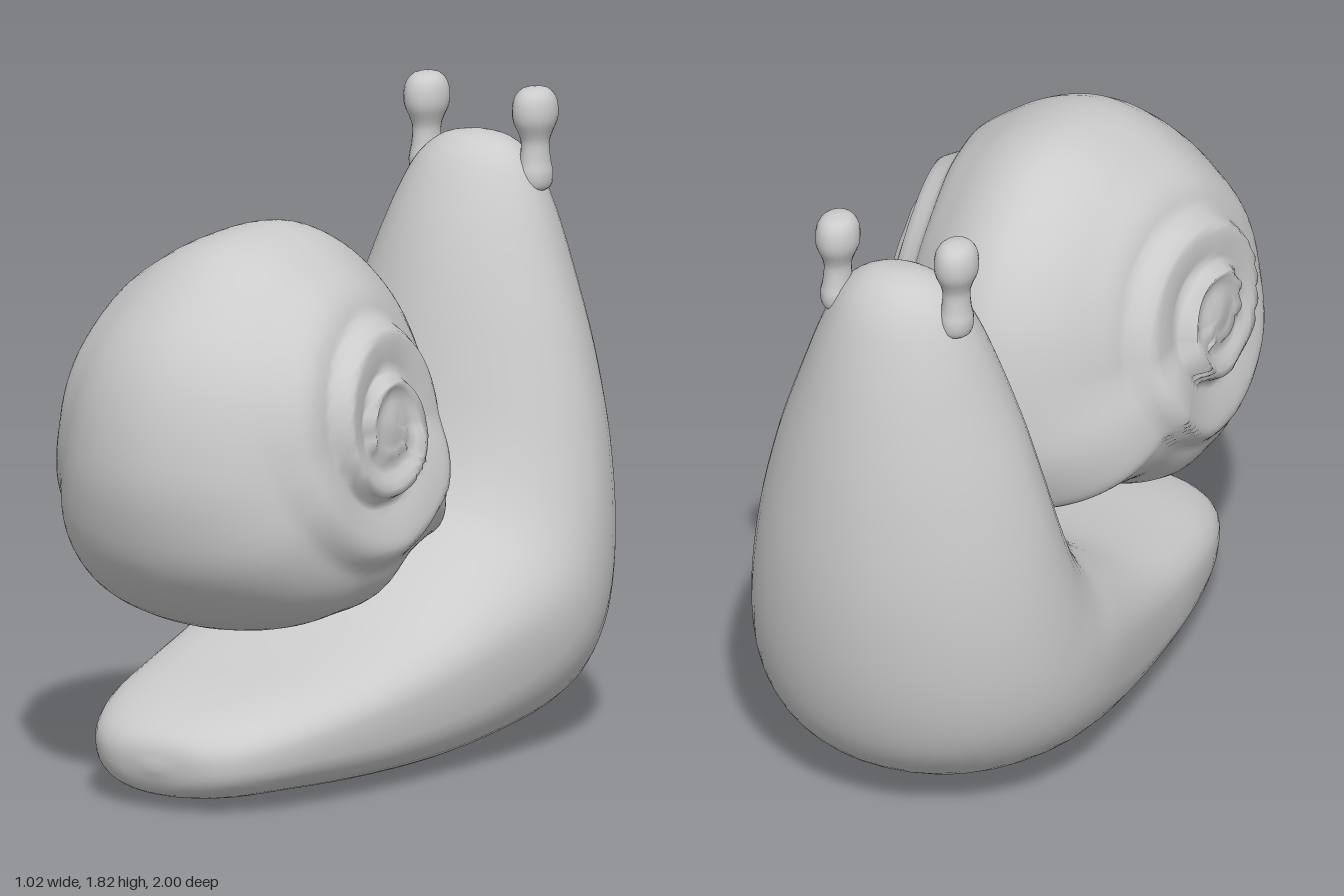
import * as THREE from 'three';
import { mergeVertices } from 'three/addons/utils/BufferGeometryUtils.js';

const material = new THREE.MeshStandardMaterial({ color: 0xcccccc });

// Smooth skin over (rows + 1) closed rings of cols points; at(u, v) returns [x, y, z]
function skin(rows, cols, at) {
  const pos = [], index = [];
  for (let i = 0; i <= rows; i++) {
    for (let j = 0; j < cols; j++) {
      pos.push(...at(i / rows, j / cols));
      if (i === rows) continue;
      const a = i * cols + j, b = i * cols + (j + 1) % cols;
      index.push(a, a + cols, b, b, a + cols, b + cols);
    }
  }
  let geo = new THREE.BufferGeometry();
  geo.setAttribute('position', new THREE.Float32BufferAttribute(pos, 3));
  geo.setIndex(index);
  geo = mergeVertices(geo, 1e-5);
  geo.computeVertexNormals();
  return geo;
}

function part(name, geo) {
  const mesh = new THREE.Mesh(geo, material);
  mesh.name = name;
  return mesh;
}

// Body sections from tail to head: inner z, y, outer z, y, half width, squareness
const SECTIONS = [
  [0.92, 0.13, 0.92, 0.13, 0, 2.2],
  [0.90, 0.21, 0.89, 0.06, 0.16, 2.3],
  [0.82, 0.26, 0.80, 0.03, 0.27, 2.5],
  [0.65, 0.31, 0.60, 0.02, 0.36, 2.7],
  [0.40, 0.36, 0.30, 0.01, 0.42, 3.0],
  [0.15, 0.43, 0.00, 0.005, 0.455, 3.0],
  [0.00, 0.50, -0.30, 0.02, 0.485, 2.8],
  [-0.15, 0.61, -0.60, 0.05, 0.51, 2.4],
  [-0.24, 0.71, -0.79, 0.11, 0.51, 2.1],
  [-0.29, 0.81, -0.90, 0.22, 0.495, 2],
  [-0.33, 0.93, -0.97, 0.42, 0.47, 1.95],
  [-0.36, 1.06, -1.00, 0.72, 0.43, 1.9],
  [-0.40, 1.22, -0.98, 1.02, 0.37, 1.9],
  [-0.45, 1.38, -0.94, 1.26, 0.30, 1.95],
  [-0.51, 1.52, -0.89, 1.46, 0.235, 2],
  [-0.57, 1.62, -0.84, 1.59, 0.175, 2],
  [-0.63, 1.67, -0.78, 1.66, 0.10, 2],
  [-0.705, 1.685, -0.705, 1.685, 0, 2],
];

function bodyGeometry() {
  const curve = (f) => new THREE.CatmullRomCurve3(SECTIONS.map(f));
  const inner = curve((s) => new THREE.Vector3(s[4], s[1], s[0]));
  const outer = curve((s) => new THREE.Vector3(s[5], s[3], s[2]));
  const pow = (v, n) => Math.sign(v) * Math.abs(v) ** (2 / n);
  return skin(68, 48, (u, v) => {
    const a = inner.getPoint(u), b = outer.getPoint(u), t = v * Math.PI * 2;
    const s = pow(Math.sin(t), b.x);
    const k = 0.54 + (s > 0 ? 0.46 : 0.54) * s; // widest a little toward the inner side
    return [a.x * pow(Math.cos(t), b.x), b.y + (a.y - b.y) * k, b.z + (a.z - b.z) * k];
  });
}

// Shell outline in the side plane (z, y), from the bottom past the mouth and over the top
const OUTLINE = [
  [0.47, 0.48], [0.32, 0.49], [0.15, 0.57], [-0.04, 0.605], [-0.12, 0.615], [-0.17, 0.68],
  [-0.22, 0.8], [-0.23, 0.93], [-0.22, 1.06], [-0.18, 1.22], [-0.1, 1.36], [0, 1.46],
  [0.12, 1.54], [0.25, 1.59], [0.4, 1.6], [0.62, 1.56], [0.85, 1.38], [0.95, 1.22], [1, 1],
  [0.99, 0.85], [0.93, 0.68], [0.78, 0.54], [0.62, 0.48],
];

function shellGeometry() {
  const cz = 0.41, cy = 1.08, { smoothstep } = THREE.MathUtils;
  const rim = new THREE.CatmullRomCurve3(OUTLINE.map(([z, y]) => new THREE.Vector3(0, y, z)), true);
  // Dome height at fraction u of the rim: full below, slimmer above and toward the neck
  const height = (u, dz, dy) => {
    const r = Math.hypot(dz, dy);
    if (r < 1e-6) return 0.48;
    const up = dy / r, neck = -dz / r;
    const p = 2.3 - 0.7 * neck - 0.5 * Math.max(0, up) + 5 * Math.max(0, -up) ** 2;
    const width = 0.455 + 0.025 * (1 - smoothstep(r, 0, 0.2));
    const dome = width * Math.max(0, 1 - u ** p) ** 0.54;
    // Whorls stand proud just inside a logarithmic spiral that grows over the top to the mouth
    const turn = (Math.atan2(dz, dy) + Math.PI * 1.25) / (Math.PI * 2);
    const phase = Math.log2(r / 0.235) + turn;
    const e = Math.ceil(phase) - phase;
    const fade = smoothstep(r, 0.05, 0.16) * (1 - smoothstep(r, 0.33, 0.45));
    return dome + 0.06 * fade * smoothstep(e, 0, 0.25) * (1 - e);
  };
  return skin(88, 96, (i, j) => {
    const u = Math.sin(Math.min(i, 1 - i) * Math.PI);
    const p = rim.getPoint(j), dz = (p.z - cz) * u, dy = (p.y - cy) * u;
    const x = i === 0.5 ? 0 : Math.sign(0.5 - i) * height(u, dz, dy);
    return [x, cy + dy, cz + dz];
  });
}

// Stalk ending in a round eye
function eyestalkGeometry() {
  const profile = [
    [0, 1.52], [0.04, 1.535], [0.048, 1.575], [0.042, 1.61], [0.038, 1.66], [0.045, 1.69], [0.059, 1.725],
    [0.062, 1.76], [0.055, 1.795], [0.035, 1.818], [0, 1.825],
  ].map(([r, y]) => new THREE.Vector2(r, y));
  return new THREE.LatheGeometry(new THREE.SplineCurve(profile).getPoints(30)
    .map((p) => new THREE.Vector2(Math.max(0, p.x), p.y)), 20);
}

export function createModel() {
  const model = new THREE.Group();
  model.name = 'snail';
  model.add(part('body', bodyGeometry()), part('shell', shellGeometry()));
  const stalk = eyestalkGeometry();
  for (const side of [1, -1]) {
    const eye = part(side > 0 ? 'leftEyestalk' : 'rightEyestalk', stalk);
    eye.position.set(side * 0.185, 0, -0.715);
    eye.scale.z = 1.18;
    model.add(eye);
  }
  return model;
}
